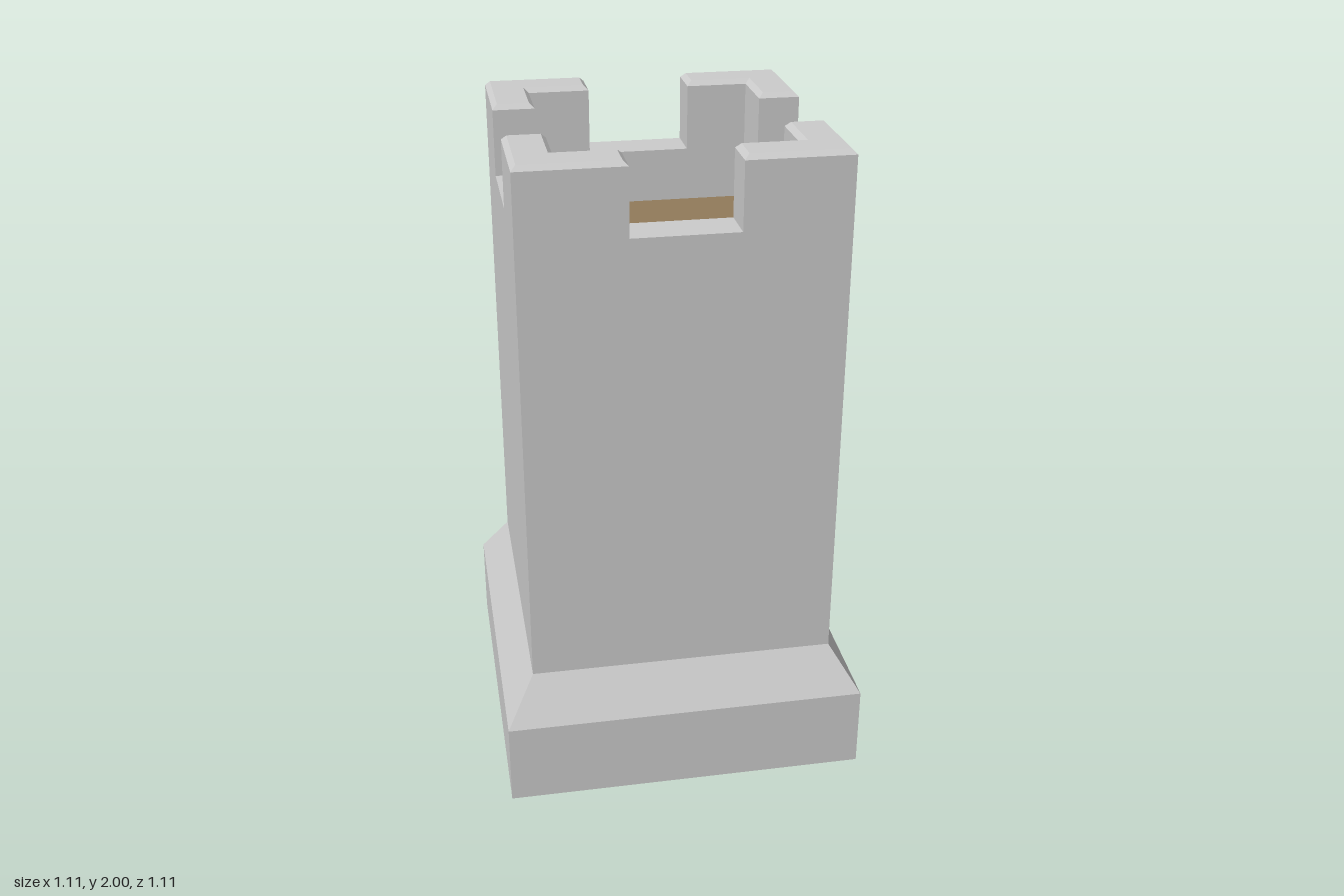
import * as THREE from 'three';

const WALL = 0.467, INNER = 0.342, NOTCH = 0.156;
const SILL = 1.785, FLOOR = 1.62, TOP = 2, CHAMFER = 0.015;

// L-shaped corner outline in x/z, inset by i, counter-clockwise from above
function cornerOutline(i, y) {
  const a = WALL - i, b = INNER + i, n = NOTCH + i;
  return [[n, a], [a, a], [a, n], [b, n], [b, b], [n, b]].map(([x, z]) => [x, y, z]);
}

// Corner battlement: upright walls, chamfered rim, flat cap
function battlementGeometry() {
  const rings = [
    cornerOutline(0, SILL),
    cornerOutline(0, TOP - CHAMFER),
    cornerOutline(CHAMFER, TOP),
  ];
  const pos = [];
  const tri = (...corners) => corners.forEach((c) => pos.push(...c));
  for (let r = 0; r < 2; r++) {
    for (let k = 0; k < 6; k++) {
      const j = (k + 1) % 6, lo = rings[r], hi = rings[r + 1];
      tri(lo[k], lo[j], hi[j]);
      tri(lo[k], hi[j], hi[k]);
    }
  }
  const cap = rings[2];
  for (const [p, q] of [[5, 0], [0, 1], [1, 2], [2, 3]]) tri(cap[4], cap[p], cap[q]);
  const geo = new THREE.BufferGeometry();
  geo.setAttribute('position', new THREE.Float32BufferAttribute(pos, 3));
  geo.computeVertexNormals();
  return geo;
}

export function createModel() {
  const group = new THREE.Group();
  group.name = 'squareTower';
  const stone = new THREE.MeshStandardMaterial({ color: 0xcccccc, flatShading: true });
  const wood = new THREE.MeshStandardMaterial({ color: 0x917b5a });

  // Plinth, shaft and parapet: a four-sided lathe with half-widths as profile
  const profile = [
    [0, 0], [0.555, 0], [0.555, 0.26], [WALL, 0.4],
    [WALL, SILL], [INNER, SILL], [INNER, FLOOR],
  ].map(([w, y]) => new THREE.Vector2(w * Math.SQRT2, y));
  const shaftGeo = new THREE.LatheGeometry(profile, 4, Math.PI / 4).toNonIndexed();
  shaftGeo.computeVertexNormals();
  const shaft = new THREE.Mesh(shaftGeo, stone);
  shaft.name = 'towerBody';
  group.add(shaft);

  // Roof floor set inside the parapet
  const floor = new THREE.Mesh(new THREE.PlaneGeometry(INNER * 2, INNER * 2), wood);
  floor.name = 'roofFloor';
  floor.rotation.x = -Math.PI / 2;
  floor.position.y = FLOOR;
  group.add(floor);

  // Four corner battlements
  const cornerGeo = battlementGeometry();
  for (let k = 0; k < 4; k++) {
    const corner = new THREE.Mesh(cornerGeo, stone);
    corner.name = `cornerBattlement${k + 1}`;
    corner.rotation.y = (k * Math.PI) / 2;
    group.add(corner);
  }
  return group;
}
